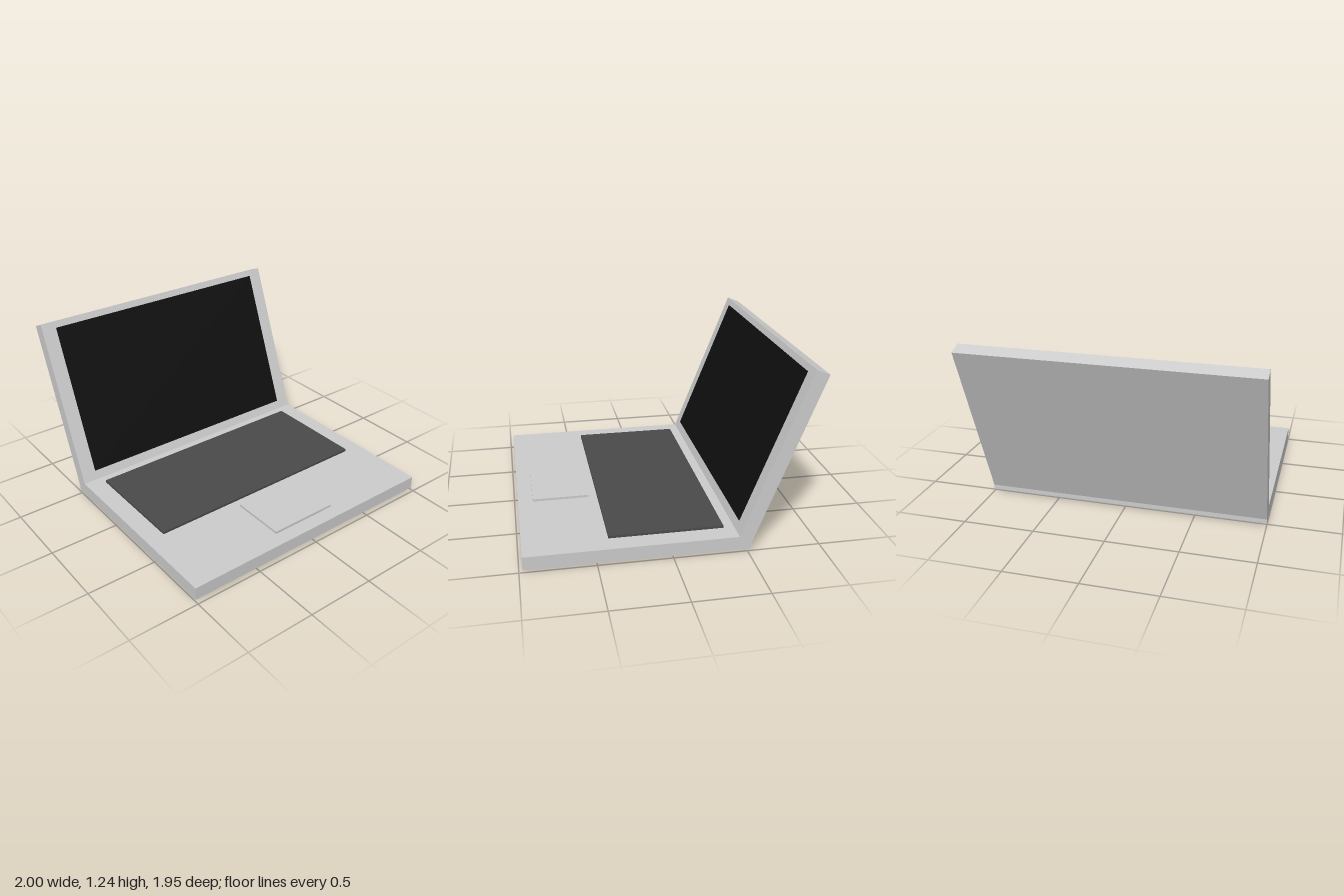
import * as THREE from 'three';

const shell = new THREE.MeshStandardMaterial({ color: 0xcccccc });
const keys = new THREE.MeshStandardMaterial({ color: 0x4a4a4a });
const glass = new THREE.MeshStandardMaterial({ color: 0x0f0f0f });

// Named box given by its size and centre
function slab(name, material, [w, h, d], [x, y, z]) {
  const mesh = new THREE.Mesh(new THREE.BoxGeometry(w, h, d), material);
  mesh.name = name;
  mesh.position.set(x, y, z);
  return mesh;
}

export function createModel() {
  const laptop = new THREE.Group();
  laptop.name = 'laptop';

  // Lower half with raised keyboard and touchpad
  laptop.add(
    slab('base', shell, [2, 0.093, 1.498], [0, 0.0635, 0.227]),
    slab('keyboard', keys, [1.726, 0.03, 0.778], [0, 0.112, 0.02]),
    slab('touchpad', shell, [0.51, 0.03, 0.398], [0, 0.112, 0.671])
  );

  // Lid leaning back, with the screen standing just proud of its front
  const lid = new THREE.Group();
  lid.name = 'lid';
  lid.position.set(0, 0.6175, -0.695);
  lid.rotation.x = -THREE.MathUtils.degToRad(21.5);
  lid.add(
    slab('lidPanel', shell, [2, 1.29, 0.095], [0, 0, 0]),
    slab('screen', glass, [1.786, 1.097, 0.02], [0, 0.052, 0.0425])
  );
  laptop.add(lid);

  return laptop;
}
